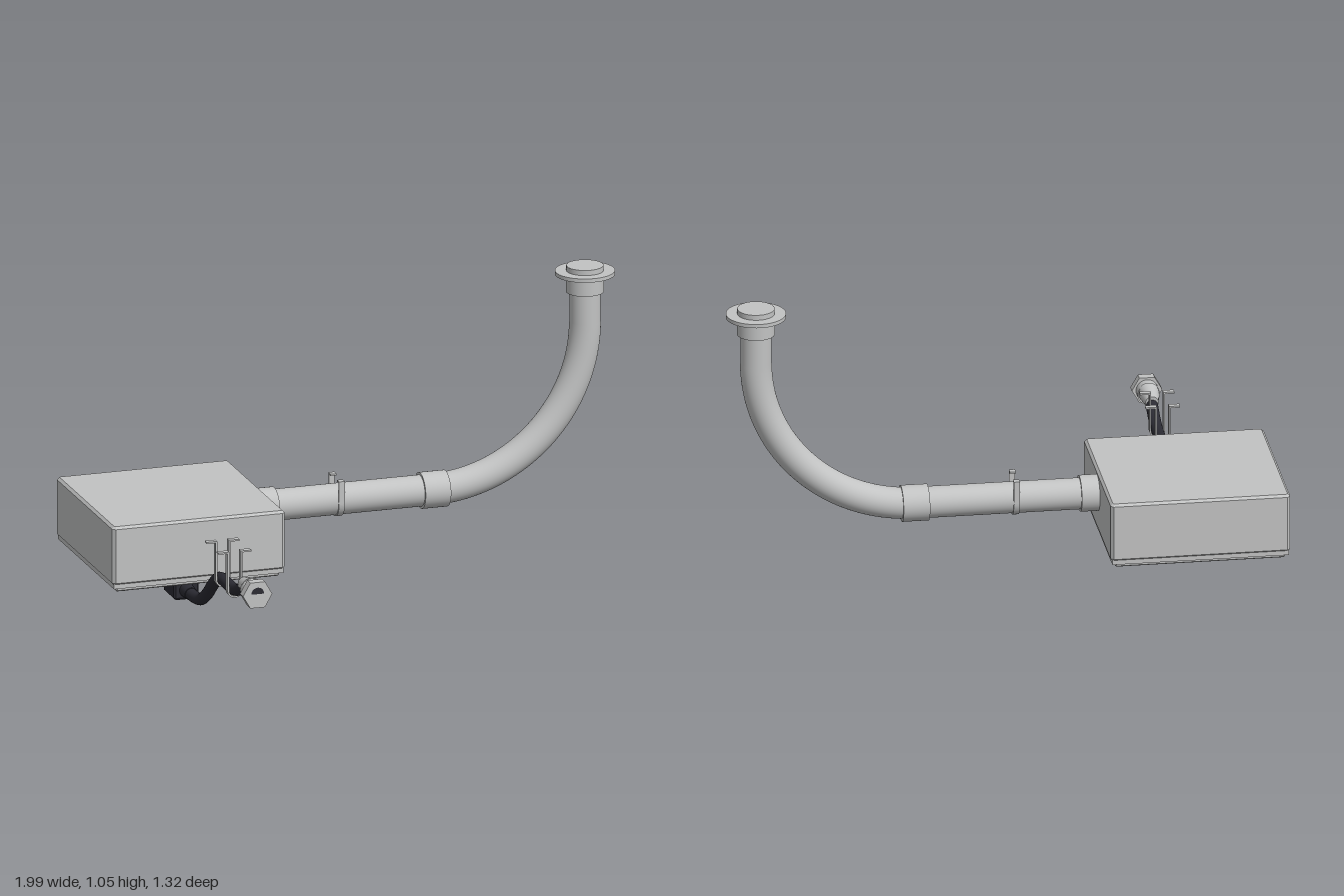
import * as THREE from 'three';

const mat = (name, color, side = THREE.FrontSide) => {
  const m = new THREE.MeshStandardMaterial({ color, side });
  m.name = name;
  return m;
};

export function createModel() {
  const grey = mat('light grey metal', 0xc2c3c3);
  const black = mat('black rubber', 0x2b2b33);
  const root = new THREE.Group();
  root.name = 'pipedUnit';

  const add = (name, geo, material, x = 0, y = 0, z = 0) => {
    const m = new THREE.Mesh(geo, material);
    m.name = name;
    m.position.set(x, y, z);
    root.add(m);
    return m;
  };
  // box with chamfered edges, centred on its origin
  const chamferBox = (w, h, d, c) => {
    const a = w / 2 - c, b = d / 2 - c, k = c * 0.6;
    const s = new THREE.Shape([
      [-a, -b + k], [-a + k, -b], [a - k, -b], [a, -b + k],
      [a, b - k], [a - k, b], [-a + k, b], [-a, b - k],
    ].map(p => new THREE.Vector2(...p)));
    return new THREE.ExtrudeGeometry(s, {
      depth: h - 2 * c, bevelEnabled: true, bevelSize: c, bevelThickness: c, bevelSegments: 1,
    }).translate(0, 0, -h / 2 + c).rotateX(-Math.PI / 2);
  };
  const rod = (r0, r1, len, n = 40) => new THREE.CylinderGeometry(r0, r1, len, n);
  const V = (x, y, z) => new THREE.Vector3(x, y, z);

  // main housing with base plate, service cover and feet
  const bx = -0.675, bz = -0.335;
  add('housing', chamferBox(0.65, 0.22, 0.65, 0.009), grey, bx, 0.235, bz);
  add('basePlate', new THREE.BoxGeometry(0.638, 0.02, 0.64), grey, bx, 0.122, bz);
  add('baseStep', chamferBox(0.615, 0.028, 0.615, 0.004), grey, bx, 0.112, bz);
  add('serviceCover', chamferBox(0.175, 0.02, 0.47, 0.004), grey, bx, 0.092, bz);
  add('coverLatch', new THREE.BoxGeometry(0.05, 0.006, 0.02), grey, bx, 0.081, -0.42);
  add('coverLatchTab', new THREE.BoxGeometry(0.015, 0.006, 0.06), grey, bx - 0.02, 0.081, -0.45);
  for (const sx of [-1, 1]) for (const sz of [-1, 1])
    add('foot', rod(0.018, 0.016, 0.012, 20), grey, bx + sx * 0.265, 0.096, bz + sz * 0.265);

  // horizontal pipe and collars
  const py = 0.265, R = 0.575, ex = 0.885;
  const along = (name, r, x0, x1) => {
    add(name, rod(r, r, x1 - x0), grey, (x0 + x1) / 2, py, bz).rotation.z = Math.PI / 2;
  };
  along('pipe', 0.057, -0.35, 0.315);
  along('housingCollar', 0.066, -0.36, -0.285);
  along('bendCollar', 0.066, 0.264, 0.36);

  // quarter bend
  class Bend extends THREE.Curve {
    getPoint(t, out = new THREE.Vector3()) {
      const a = t * Math.PI / 2;
      return out.set(ex - R + R * Math.sin(a), py + R - R * Math.cos(a), bz);
    }
  }
  add('pipeBend', new THREE.TubeGeometry(new Bend(), 40, 0.057, 40), grey);

  // upright outlet with flange and cap
  add('outletPipe', rod(0.056, 0.056, 0.13), grey, ex, 0.903, bz);
  add('outletCollar', rod(0.068, 0.068, 0.07), grey, ex, 0.986, bz);
  add('outletFlange', rod(0.108, 0.108, 0.014, 48), grey, ex, 1.023, bz);
  add('outletCap', rod(0.067, 0.067, 0.03), grey, ex, 1.034, bz);

  // U-shaped strap hanger; foot > 0 turns the end tabs outward, < 0 inward
  const hanger = (name, r, rise, foot, width, x, y, z) => {
    const t = 0.006, q = r + t, s = new THREE.Shape();
    const end = q + (foot > 0 ? foot : 0);
    const inner = r + (foot < 0 ? foot : 0);
    s.moveTo(-q, 0);
    s.absarc(0, 0, q, Math.PI, Math.PI * 2, false);
    s.lineTo(q, rise - t);
    s.lineTo(end, rise - t);
    s.lineTo(end, rise);
    s.lineTo(inner, rise);
    s.lineTo(inner, rise - t);
    s.lineTo(r, rise - t);
    s.lineTo(r, 0);
    s.absarc(0, 0, r, Math.PI * 2, Math.PI, true);
    s.lineTo(-r, rise - t);
    s.lineTo(-inner, rise - t);
    s.lineTo(-inner, rise);
    s.lineTo(-end, rise);
    s.lineTo(-end, rise - t);
    s.lineTo(-q, rise - t);
    const g = new THREE.ExtrudeGeometry(s, { depth: width, bevelEnabled: false, curveSegments: 20 });
    return add(name, g.translate(0, 0, -width / 2), grey, x, y, z);
  };
  hanger('pipeHanger', 0.056, 0.082, -0.02, 0.022, -0.05, py, bz).rotation.y = Math.PI / 2;
  for (const z of [0.252, 0.388])
    hanger('cableHanger', 0.022, 0.145, 0.034, 0.022, bx, 0.2, z);

  // flexible cable
  const path = new THREE.CatmullRomCurve3([
    [-0.16, 0.038], [-0.06, 0.039], [0.01, 0.052], [0.08, 0.092], [0.15, 0.15],
    [0.21, 0.19], [0.26, 0.2], [0.38, 0.2], [0.44, 0.215], [0.53, 0.258],
  ].map(([z, y]) => V(bx, y, z)));
  add('cable', new THREE.TubeGeometry(path, 70, 0.022, 24), black);

  // plug under the housing
  add('plugSleeve', rod(0.024, 0.028, 0.06, 24), black, bx, 0.038, -0.13).rotation.x = Math.PI / 2;
  add('plugBody', chamferBox(0.095, 0.07, 0.125, 0.006), black, bx, 0.039, -0.215);
  add('plugRib', chamferBox(0.085, 0.078, 0.112, 0.005), black, bx, 0.039, -0.215);
  add('plugEnd', new THREE.BoxGeometry(0.08, 0.058, 0.02), black, bx, 0.039, -0.272);

  // cable end fitting with hexagonal nut
  const cone = add('fittingCone', rod(0.038, 0.024, 0.085, 32), grey, bx, 0.26, 0.544);
  cone.rotation.x = Math.PI / 2 - 0.08;
  add('fittingNeck', rod(0.04, 0.04, 0.05, 32), grey, bx, 0.258, 0.603).rotation.x = Math.PI / 2;
  const nut = rod(0.055, 0.055, 0.036, 6).toNonIndexed();
  nut.computeVertexNormals();
  nut.rotateY(Math.PI / 2).rotateX(Math.PI / 2);
  add('hexNut', nut, grey, bx, 0.258, 0.639);
  const slot = new THREE.Shape();
  slot.moveTo(0.024, 0);
  slot.absarc(0, 0, 0.024, 0, Math.PI, false);
  add('nutOpening', new THREE.ShapeGeometry(slot, 16), black, bx, 0.262, 0.658);

  return root;
}
